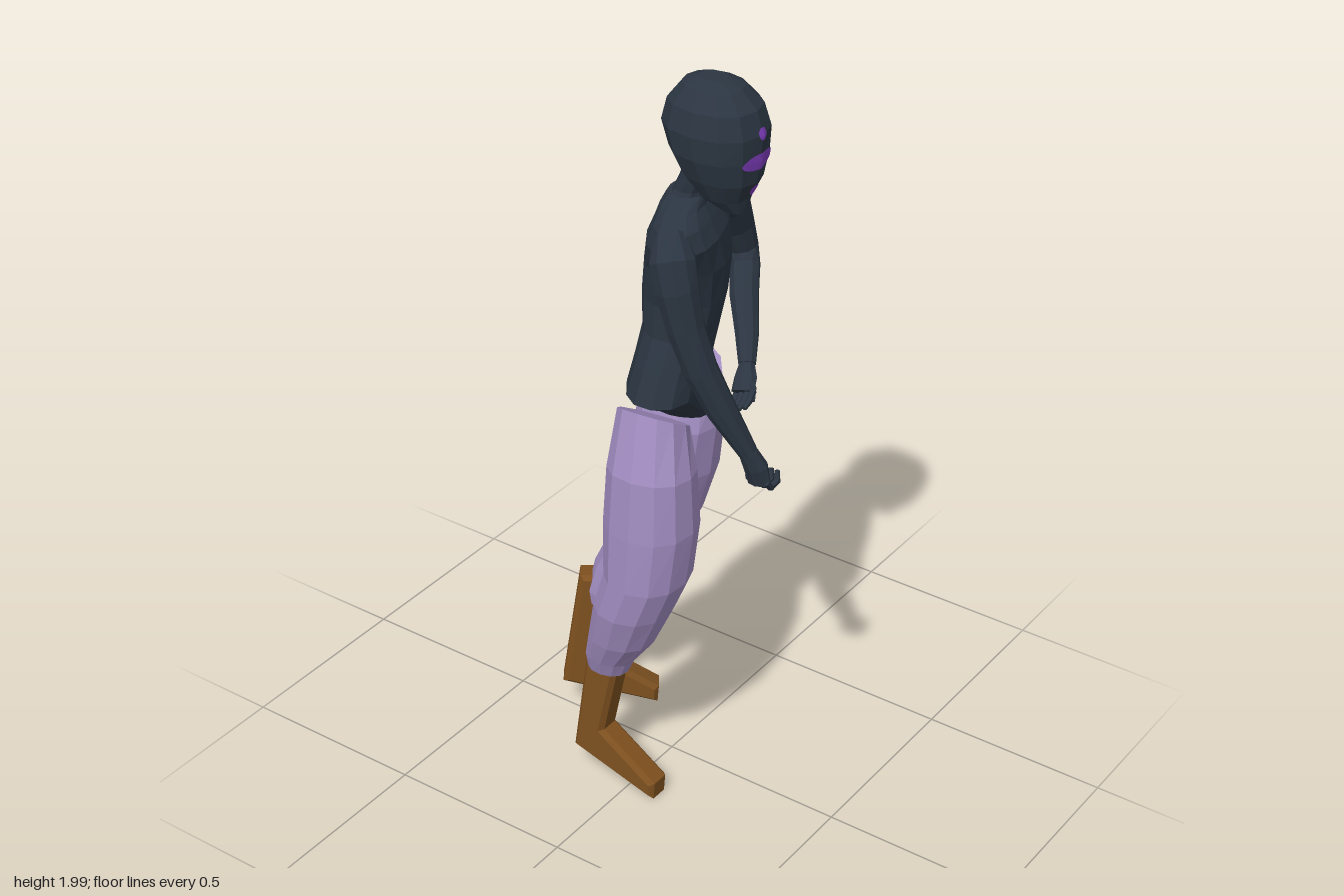
import * as THREE from 'three';

const mat = (name, color) => {
  const m = new THREE.MeshStandardMaterial({ color });
  m.name = name;
  return m;
};

// Faceted skin over rings [x, y, z, halfWidth, halfDepth, tilt].
// With flat on, rings stay level; otherwise they follow the path.
function loft(rings, { sides = 10, yaw = 0, flat = false, power = 1 } = {}) {
  const pos = [], idx = [], n = rings.length;
  const centres = rings.map(r => new THREE.Vector3(r[0], r[1], r[2]));
  const rise = Math.sign(centres[n - 1].y - centres[0].y);
  const ref = new THREE.Vector3(Math.cos(yaw), 0, -Math.sin(yaw));
  const bend = s => Math.sign(s) * Math.pow(Math.abs(s), power);
  rings.forEach(([, , , a, b = a, tilt = 0], i) => {
    const t = flat ? new THREE.Vector3(0, rise, 0)
      : centres[Math.min(i + 1, n - 1)].clone().sub(centres[Math.max(i - 1, 0)]).normalize();
    const v = t.clone().cross(ref).normalize();
    const u = v.clone().cross(t);
    for (let j = 0; j < sides; j++) {
      const th = j / sides * Math.PI * 2;
      const s = a * bend(Math.cos(th));
      const p = centres[i].clone().addScaledVector(u, s).addScaledVector(v, b * bend(Math.sin(th)));
      pos.push(p.x, p.y + tilt * s, p.z);
    }
  });
  const at = (i, j) => i * sides + j % sides;
  for (let i = 0; i < n - 1; i++) for (let j = 0; j < sides; j++) {
    idx.push(at(i, j), at(i, j + 1), at(i + 1, j + 1), at(i, j), at(i + 1, j + 1), at(i + 1, j));
  }
  for (const [i, flip] of [[0, true], [n - 1, false]]) {
    const c = pos.length / 3;
    pos.push(...centres[i].toArray());
    for (let j = 0; j < sides; j++) {
      if (flip) idx.push(c, at(i, j + 1), at(i, j));
      else idx.push(c, at(i, j), at(i, j + 1));
    }
  }
  const g = new THREE.BufferGeometry();
  g.setAttribute('position', new THREE.Float32BufferAttribute(pos, 3));
  g.setIndex(idx);
  const out = g.toNonIndexed();
  out.computeVertexNormals();
  return out;
}

export function createModel() {
  const model = new THREE.Group();
  const dark = mat('dark slate', 0x2b3541);
  const lilac = mat('lilac cloth', 0xa08cbf);
  const brown = mat('brown leather', 0x7d501f);
  const violet = mat('violet paint', 0x7d3cba);
  const add = (name, geometry, material, parent = model) => {
    const m = new THREE.Mesh(geometry, material);
    m.name = name;
    parent.add(m);
    return m;
  };

  // Torso, turned towards the model's left
  add('torso', loft([
    [0, 1.065, 0.035, 0.035, 0.06], [-0.01, 1.11, 0.02, 0.085, 0.09],
    [-0.035, 1.17, 0.015, 0.165, 0.095], [-0.033, 1.25, 0.03, 0.137, 0.09],
    [-0.025, 1.33, 0.045, 0.112, 0.09], [-0.025, 1.42, 0.055, 0.11, 0.1],
    [-0.03, 1.52, 0.068, 0.128, 0.1], [-0.042, 1.6, 0.075, 0.17, 0.088],
    [-0.045, 1.645, 0.075, 0.155, 0.068], [-0.05, 1.675, 0.073, 0.1, 0.054],
    [-0.05, 1.7, 0.08, 0.052, 0.046]
  ], { sides: 14, yaw: 0.36, flat: true, power: 0.88 }), dark);
  add('neck', loft([
    [-0.05, 1.66, 0.07, 0.06, 0.055], [-0.05, 1.71, 0.09, 0.042, 0.04], [-0.05, 1.8, 0.13, 0.04, 0.04]
  ], { flat: true }), dark);

  // Head
  const head = add('head', loft([
    [-0.05, 1.685, 0.212, 0.025, 0.025], [-0.05, 1.72, 0.185, 0.055, 0.06],
    [-0.05, 1.77, 0.175, 0.08, 0.095], [-0.05, 1.83, 0.165, 0.1, 0.115],
    [-0.05, 1.89, 0.157, 0.105, 0.127], [-0.05, 1.945, 0.155, 0.092, 0.112],
    [-0.05, 1.985, 0.15, 0.062, 0.075], [-0.05, 2, 0.15, 0.03, 0.035]
  ], { sides: 12, flat: true, power: 0.88 }), dark);
  head.updateMatrixWorld(true);

  // Painted face marks, laid onto the front of the head
  const ray = new THREE.Raycaster();
  const mark = (name, y, w, h) => {
    const g = new THREE.RingGeometry(0.001, 1, 16, 5);
    g.scale(w, h, 1);
    g.translate(-0.05, y, 0);
    const p = g.attributes.position;
    for (let i = 0; i < p.count; i++) {
      ray.set(new THREE.Vector3(p.getX(i), p.getY(i), 1), new THREE.Vector3(0, 0, -1));
      const hit = ray.intersectObject(head)[0];
      p.setZ(i, (hit ? hit.point.z : 0.27) + 0.004);
    }
    g.computeVertexNormals();
    add(name, g, violet);
  };
  mark('browMark', 1.895, 0.014, 0.015);
  mark('eyeBand', 1.828, 0.057, 0.021);
  mark('chinMark', 1.752, 0.014, 0.015);

  // Right arm, hanging forward, with a loose fist
  const rightArm = new THREE.Group();
  rightArm.name = 'rightArm';
  model.add(rightArm);
  add('rightSleeve', loft([
    [-0.16, 1.635, 0.11, 0.04], [-0.195, 1.59, 0.14, 0.056], [-0.2, 1.53, 0.155, 0.053],
    [-0.193, 1.43, 0.175, 0.046], [-0.175, 1.32, 0.205, 0.042], [-0.143, 1.21, 0.243, 0.037],
    [-0.102, 1.09, 0.292, 0.024]
  ]), dark, rightArm);
  add('rightPalm', loft([
    [-0.102, 1.09, 0.292, 0.022, 0.024], [-0.086, 1.045, 0.305, 0.026, 0.032], [-0.078, 1, 0.31, 0.02, 0.032]
  ], { sides: 8 }), dark, rightArm);
  for (let i = 0; i < 4; i++) {
    const z = 0.334 - 0.017 * i;
    add('rightFinger', loft([
      [-0.085, 1.01, z, 0.009], [-0.065, 0.986, z, 0.0095], [-0.037, 0.99, z, 0.009], [-0.032, 1.015, z - 0.004, 0.007]
    ], { sides: 5, yaw: Math.PI / 2 }), dark, rightArm);
  }
  add('rightThumb', loft([
    [-0.085, 1.06, 0.295, 0.012], [-0.055, 1.04, 0.283, 0.011], [-0.032, 1.015, 0.285, 0.007]
  ], { sides: 5, yaw: Math.PI / 2 }), dark, rightArm);

  // Left arm, bent with the hand in front of the waist
  const leftArm = new THREE.Group();
  leftArm.name = 'leftArm';
  model.add(leftArm);
  add('leftSleeve', loft([
    [0.06, 1.635, 0.045, 0.042], [0.13, 1.615, 0.04, 0.055], [0.185, 1.56, 0.033, 0.053],
    [0.23, 1.48, 0.025, 0.046], [0.257, 1.405, 0.028, 0.04], [0.245, 1.365, 0.045, 0.038],
    [0.19, 1.315, 0.08, 0.037], [0.13, 1.25, 0.13, 0.03], [0.08, 1.2, 0.165, 0.022]
  ], { yaw: -Math.PI / 2 }), dark, leftArm);
  add('leftPalm', loft([
    [0.08, 1.2, 0.165, 0.02, 0.02], [0.055, 1.178, 0.178, 0.03, 0.018], [0.028, 1.155, 0.188, 0.03, 0.014]
  ], { sides: 8, yaw: -Math.PI / 2 }), dark, leftArm);
  for (let i = 0; i < 4; i++) {
    const z = 0.214 - 0.016 * i, y = 1.165 - 0.008 * i;
    add('leftFinger', loft([
      [0.035, y, z, 0.009], [0.01, y - 0.018, z + 0.004, 0.0085], [-0.012, y - 0.026, z + 0.006, 0.006]
    ], { sides: 5, yaw: Math.PI / 2 }), dark, leftArm);
  }
  add('leftThumb', loft([
    [0.055, 1.185, 0.185, 0.011], [0.04, 1.165, 0.21, 0.01], [0.02, 1.145, 0.222, 0.007]
  ], { sides: 5 }), dark, leftArm);

  // Baggy trouser legs
  add('leftTrouser', loft([
    [0.085, 1.12, -0.015, 0.075, 0.088, 0.6], [0.088, 1.0, -0.035, 0.112, 0.112, 0.1],
    [0.09, 0.85, -0.062, 0.12, 0.12], [0.1, 0.7, -0.093, 0.112, 0.1],
    [0.098, 0.6, -0.135, 0.108, 0.098], [0.068, 0.49, -0.19, 0.088, 0.086],
    [0.035, 0.42, -0.21, 0.06, 0.068], [0.022, 0.385, -0.21, 0.045, 0.055]
  ], { sides: 12, yaw: 0.45, flat: true, power: 0.9 }), lilac);
  add('rightTrouser', loft([
    [-0.14, 1.12, 0.045, 0.075, 0.088, -0.6], [-0.175, 1.0, 0.065, 0.102, 0.108, -0.1],
    [-0.18, 0.85, 0.067, 0.113, 0.116], [-0.185, 0.7, 0.06, 0.115, 0.105],
    [-0.19, 0.6, 0.025, 0.11, 0.1], [-0.192, 0.49, -0.012, 0.085, 0.086],
    [-0.19, 0.41, -0.052, 0.06, 0.066], [-0.188, 0.365, -0.062, 0.046, 0.055]
  ], { sides: 12, yaw: 0.1, flat: true, power: 0.9 }), lilac);

  // Boots: a side profile with chamfered edges
  const side = [[0.095, 0.42], [0.04, 0.165], [0.2, 0.06], [0.196, 0.01], [-0.055, 0.08], [-0.005, 0.42]];
  const boot = (name, x, y, z, yaw) => {
    const g = new THREE.ExtrudeGeometry(new THREE.Shape(side.map(p => new THREE.Vector2(...p))), {
      depth: 0.046, bevelEnabled: true, bevelThickness: 0.012, bevelSize: 0.012, bevelOffset: -0.012, bevelSegments: 1
    });
    g.translate(0, 0, -0.023);
    g.rotateY(-Math.PI / 2);
    const b = add(name, g, brown);
    b.position.set(x, y, z);
    b.rotation.y = yaw;
  };
  boot('rightBoot', -0.18, 0, -0.11, 0);
  boot('leftBoot', 0.003, 0.04, -0.29, 0.62);

  return model;
}
